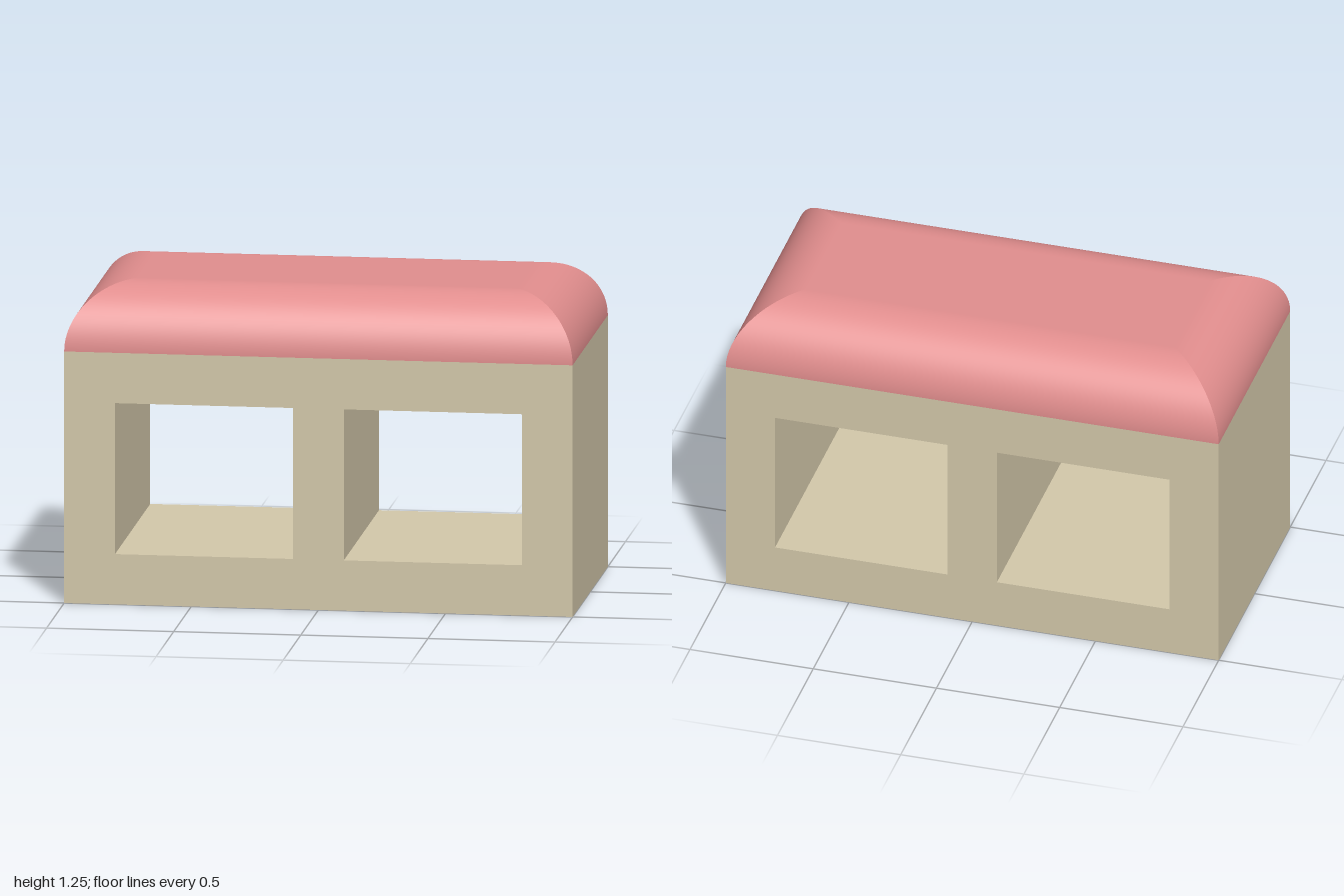
import * as THREE from 'three';

const HALF_X = 1, HALF_Z = 0.5, WALL = 1, R = 0.25;

// Rectangle path given by its corners
function rect(path, x0, y0, x1, y1) {
  path.moveTo(x0, y0);
  path.lineTo(x1, y0);
  path.lineTo(x1, y1);
  path.lineTo(x0, y1);
  path.closePath();
  return path;
}

// Quarter-round roof slope facing +z, mitred at both ends
function roofSlope(halfWidth, depth, steps = 24) {
  const pos = [], nor = [], idx = [];
  for (let i = 0; i <= steps; i++) {
    const t = (i / steps) * Math.PI / 2;
    const inset = R * (1 - Math.cos(t));
    for (const s of [-1, 1]) {
      pos.push(s * (halfWidth - inset), WALL + R * Math.sin(t), depth - inset);
      nor.push(0, Math.sin(t), Math.cos(t));
    }
    if (i < steps) {
      const a = i * 2;
      idx.push(a, a + 1, a + 3, a, a + 3, a + 2);
    }
  }
  const g = new THREE.BufferGeometry();
  g.setAttribute('position', new THREE.Float32BufferAttribute(pos, 3));
  g.setAttribute('normal', new THREE.Float32BufferAttribute(nor, 3));
  g.setIndex(idx);
  return g;
}

export function createModel() {
  const model = new THREE.Group();
  model.name = 'shelter';

  const wallMat = new THREE.MeshStandardMaterial({ color: 0xd4c9ab });
  wallMat.name = 'sand wall';
  const roofMat = new THREE.MeshStandardMaterial({ color: 0xe28e8e });
  roofMat.name = 'pink roof';

  // Block with two rectangular openings running front to back
  const shape = rect(new THREE.Shape(), -HALF_X, 0, HALF_X, WALL);
  for (const [x0, x1] of [[-0.8, -0.1], [0.1, 0.8]]) {
    shape.holes.push(rect(new THREE.Path(), x0, 0.2, x1, 0.8));
  }
  const bodyGeo = new THREE.ExtrudeGeometry(shape, { depth: 2 * HALF_Z, bevelEnabled: false });
  bodyGeo.translate(0, 0, -HALF_Z);
  const body = new THREE.Mesh(bodyGeo, wallMat);
  body.name = 'body';
  model.add(body);

  // Roof: four rounded slopes around a flat top
  const roof = new THREE.Group();
  roof.name = 'roof';
  ['frontSlope', 'leftSlope', 'backSlope', 'rightSlope'].forEach((name, i) => {
    const geo = i % 2 ? roofSlope(HALF_Z, HALF_X) : roofSlope(HALF_X, HALF_Z);
    const slope = new THREE.Mesh(geo, roofMat);
    slope.name = name;
    slope.rotation.y = i * Math.PI / 2;
    roof.add(slope);
  });
  const topGeo = new THREE.PlaneGeometry(2 * (HALF_X - R), 2 * (HALF_Z - R));
  topGeo.rotateX(-Math.PI / 2);
  const top = new THREE.Mesh(topGeo, roofMat);
  top.name = 'flatTop';
  top.position.y = WALL + R;
  roof.add(top);
  model.add(roof);

  return model;
}
